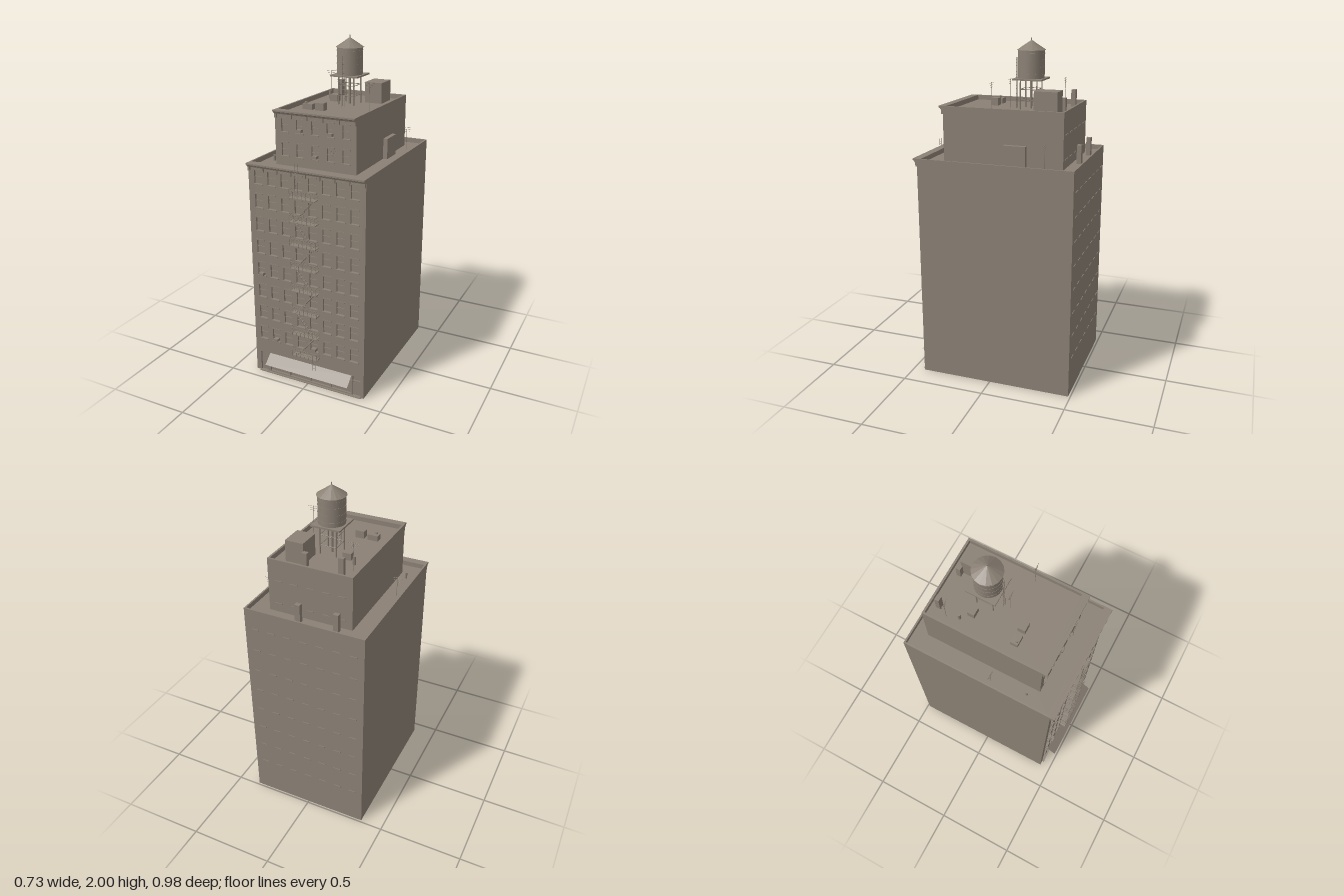
import * as THREE from 'three';

const stone = new THREE.MeshStandardMaterial({ color: 0x8a8074, side: THREE.DoubleSide });
stone.name = 'warm grey stone';

function add(parent, name, geo) {
  const m = new THREE.Mesh(geo, stone);
  m.name = name;
  parent.add(m);
  return m;
}
function group(parent, name) {
  const g = new THREE.Group();
  g.name = name;
  parent.add(g);
  return g;
}
function box(parent, name, x0, x1, y0, y1, z0, z1) {
  const m = add(parent, name, new THREE.BoxGeometry(x1 - x0, y1 - y0, z1 - z0));
  m.position.set((x0 + x1) / 2, (y0 + y1) / 2, (z0 + z1) / 2);
  return m;
}
function rod(parent, name, a, b, r = 0.0015, sides = 5) {
  const p = new THREE.Vector3(...a), d = new THREE.Vector3(...b).sub(p);
  const m = add(parent, name, new THREE.CylinderGeometry(r, r, d.length(), sides));
  m.position.copy(p).addScaledVector(d, 0.5);
  m.quaternion.setFromUnitVectors(new THREE.Vector3(0, 1, 0), d.normalize());
  return m;
}
function rect(Type, x0, x1, y0, y1) {
  return new Type([[x0, y0], [x1, y0], [x1, y1], [x0, y1]].map(p => new THREE.Vector2(...p)));
}
// a four-point sheet facing the side given by the corner order
function sheet(parent, name, w, h, x, y, z, rx = 0, ry = 0) {
  const m = add(parent, name, new THREE.PlaneGeometry(w, h));
  m.position.set(x, y, z);
  m.rotation.set(rx, ry, 0);
  return m;
}

// one storey block: side walls, pierced front, sunken roof, parapet and cornice
function block(root, name, o) {
  const g = group(root, name);
  const { w, back, front, y0, y1, rim, frontRim, openings } = o;
  const h = y1 - y0, ym = (y0 + y1) / 2, d = front - back, zm = (front + back) / 2;
  sheet(g, 'leftWall', d, h, w, ym, zm, 0, Math.PI / 2);
  sheet(g, 'rightWall', d, h, -w, ym, zm, 0, -Math.PI / 2);
  sheet(g, 'backWall', 2 * w, h, 0, ym, back, 0, Math.PI);
  // front with recessed openings
  const depth = 0.014;
  const face = rect(THREE.Shape, -w, w, y0, y1);
  for (const [a, b, c, e] of openings) {
    face.holes.push(rect(THREE.Path, a, b, c, e));
    sheet(g, 'glass', b - a, e - c, (a + b) / 2, (c + e) / 2, front - depth + 0.002);
  }
  const wall = add(g, 'frontWall', new THREE.ExtrudeGeometry(face, { depth, bevelEnabled: false }));
  wall.position.z = front - depth;
  // parapet ring and roof
  const ring = rect(THREE.Shape, -w, w, -front, -back);
  ring.holes.push(rect(THREE.Path, -w + rim, w - rim, -frontRim, -back - rim));
  const parapet = add(g, 'parapet', new THREE.ExtrudeGeometry(ring, { depth: 0.03, bevelEnabled: false }));
  parapet.rotation.x = -Math.PI / 2;
  parapet.position.y = y1 - 0.03;
  sheet(g, 'roof', 2 * w - 0.002, d - 0.002, 0, y1 - 0.028, zm, -Math.PI / 2);
  // stepped cornice with brackets
  const profile = new THREE.Shape([[0, 0], [0.026, 0], [0.026, -0.009], [0.017, -0.013], [0.012, -0.022], [0, -0.024]]
    .map(p => new THREE.Vector2(...p)));
  const cornice = add(g, 'cornice', new THREE.ExtrudeGeometry(profile, { depth: 2 * w, bevelEnabled: false }));
  cornice.rotation.y = -Math.PI / 2;
  cornice.scale.z = -1;
  cornice.rotation.y = Math.PI / 2;
  cornice.scale.set(-1, 1, 1);
  cornice.position.set(-w, y1, front);
  for (let i = 0; i < o.brackets; i++) {
    const x = -w + 0.008 + (2 * w - 0.016) * i / (o.brackets - 1);
    box(g, 'corniceBracket', x - 0.006, x + 0.006, y1 - 0.046, y1 - 0.022, front, front + 0.011);
  }
  return g;
}

function windows(cols, rows, w, h) {
  return rows.flatMap(y => cols.map(x => [x - w / 2, x + w / 2, y - h / 2, y + h / 2]));
}
function trim(parent, list, front) {
  for (const [a, b, c, e] of list) {
    const m = (c + e) / 2;
    box(parent, 'windowRail', a, b, m - 0.002, m + 0.002, front - 0.012, front - 0.007);
    box(parent, 'windowSill', a - 0.004, b + 0.004, c - 0.006, c, front - 0.01, front + 0.006);
    box(parent, 'windowLintel', a - 0.003, b + 0.003, e, e + 0.007, front - 0.01, front + 0.003);
  }
}
function antenna(root, x, y0, y1, z, span = 0.031) {
  const g = group(root, 'antenna');
  rod(g, 'mast', [x, y0, z], [x, y1, z], 0.0015);
  [1, 0.75, 0.5].forEach((s, i) =>
    rod(g, 'crossbar', [x - span * s, y1 - 0.004 - i * 0.012, z], [x + span * s, y1 - 0.004 - i * 0.012, z], 0.001));
}
function ladder(parent, x, y0, y1, z0, z1 = z0, half = 0.009) {
  const g = group(parent, 'ladder'), n = Math.max(2, Math.round((y1 - y0) / 0.016));
  for (const s of [-half, half]) rod(g, 'ladderRail', [x + s, y0, z0], [x + s, y1, z1]);
  for (let i = 1; i < n; i++) {
    const t = i / n, y = y0 + (y1 - y0) * t, z = z0 + (z1 - z0) * t;
    rod(g, 'rung', [x - half, y, z], [x + half, y, z], 0.001);
  }
}

export function createModel() {
  const root = new THREE.Group();
  root.name = 'apartmentTower';
  const F = 0.43, F2 = 0.312, B = -0.487, B2 = -0.396;

  // window layout
  const rows = Array.from({ length: 8 }, (_, i) => 0.27 + i * 0.1415);
  const cols = Array.from({ length: 8 }, (_, i) => -0.301 + i * 0.0859);
  const mainWin = windows(cols, rows, 0.05, 0.08);
  const topWin = windows([-0.19, -0.095, 0, 0.095, 0.19], [1.407, 1.545], 0.043, 0.075);
  const shop = [[-0.332, -0.283, 0.004, 0.13], [-0.265, 0.285, 0.012, 0.135], [0.292, 0.345, 0.004, 0.135]];

  // two stacked blocks
  const main = block(root, 'mainBlock', { w: 0.364, back: B, front: F, y0: 0, y1: 1.341, rim: 0.01,
    frontRim: 0.407, openings: [...mainWin, ...shop], brackets: 9 });
  trim(main, mainWin, F);
  const upper = block(root, 'upperBlock', { w: 0.251, back: B2, front: F2, y0: 1.312, y1: 1.63, rim: 0.012,
    frontRim: 0.293, openings: topWin, brackets: 6 });
  trim(upper, topWin, F2);

  // narrow ledges on the back walls
  for (const y of rows) for (let i = -3; i <= 3; i++)
    box(main, 'backSill', i * 0.1 - 0.022, i * 0.1 + 0.022, y - 0.046, y - 0.041, B - 0.004, B);
  for (const y of [1.407, 1.545]) for (let i = -2; i <= 2; i++)
    box(upper, 'backSill', i * 0.095 - 0.022, i * 0.095 + 0.022, y - 0.044, y - 0.039, B2 - 0.004, B2);

  // street front
  const store = group(root, 'storefront');
  for (const x of [-0.13, 0.01, 0.15]) box(store, 'mullion', x - 0.003, x + 0.003, 0.012, 0.135, F - 0.012, F - 0.004);
  box(store, 'transom', -0.265, 0.285, 0.096, 0.1, F - 0.012, F - 0.004);
  box(store, 'doorTransom', 0.292, 0.345, 0.1, 0.105, F - 0.012, F - 0.004);
  box(store, 'doorstep', -0.335, 0.348, 0, 0.005, F, F + 0.012);
  const rise = 0.05, reach = 0.06;
  sheet(store, 'awning', 0.55, Math.hypot(rise, reach), 0.01, 0.11, F + reach / 2, -Math.atan2(reach, rise));

  // window air conditioners
  for (const [x, y, z] of [[-0.301, 0.655, F], [-0.215, 0.235, F], [-0.001 + 0.043, 0.235, F],
    [-0.095, 1.513, F2], [0.095, 1.513, F2], [0, 1.375, F2]])
    box(root, 'airConditioner', x - 0.014, x + 0.014, y, y + 0.016, z - 0.012, z + 0.014);

  // fire escape
  const fire = group(root, 'fireEscape');
  const zin = F, zout = 0.47, xl = -0.083, xr = 0.079;
  for (let i = 0; i < 8; i++) {
    const y = 0.19 + i * 0.1415;
    box(fire, 'landing', xl, xr, y, y + 0.005, zin, zout);
    for (const h of [0.024, 0.046]) {
      rod(fire, 'frontRail', [xl, y + h, zout], [xr, y + h, zout], 0.0018);
      for (const x of [xl, xr]) rod(fire, 'sideRail', [x, y + h, zin], [x, y + h, zout], 0.0018);
    }
    for (let k = 0; k <= 6; k++) {
      const x = xl + (xr - xl) * k / 6;
      rod(fire, 'railPost', [x, y, zout], [x, y + 0.046, zout], 0.0013);
    }
    if (i === 7) continue;
    // stairs alternate in direction from floor to floor
    const s = i % 2 ? 1 : -1, x0 = 0.06 * s, x1 = -0.06 * s, y1 = y + 0.1415;
    for (const z of [0.44, 0.461]) rod(fire, 'stairStringer', [x0, y, z], [x1, y1, z], 0.0025, 4);
    for (let k = 1; k < 9; k++) {
      const x = x0 + (x1 - x0) * k / 9, yy = y + 0.1415 * k / 9;
      box(fire, 'stairTread', x - 0.005, x + 0.005, yy - 0.001, yy + 0.001, 0.44, 0.461);
    }
  }
  ladder(fire, 0.058, 0.12, 0.19, 0.464);
  ladder(fire, -0.035, 1.18, 1.38, 0.466);

  // rooftop boxes and chimneys
  const R = 1.602, R1 = 1.313;
  box(root, 'stairBulkhead', 0.065, 0.172, R, 1.724, -0.335, -0.2);
  box(root, 'sideBulkhead', 0.25, 0.277, R1, 1.434, -0.187, -0.055);
  box(root, 'roofVentBox', -0.14, -0.09, R, 1.642, -0.186, -0.145);
  box(root, 'roofHatch', -0.177, -0.115, R, 1.634, 0.087, 0.13);
  box(root, 'roofHatch', -0.094, -0.041, R, 1.645, 0.087, 0.13);
  box(root, 'chimney', -0.177, -0.146, R, 1.7, -0.355, -0.329);
  box(root, 'chimney', 0.037, 0.068, R, 1.68, -0.352, -0.326);
  box(root, 'lowerChimney', -0.193, -0.162, R1, 1.42, -0.45, -0.424);
  box(root, 'lowerChimney', 0.034, 0.066, R1, 1.42, -0.45, -0.424);
  rod(root, 'ventPipe', [-0.174, R, -0.214], [-0.174, 1.65, -0.214], 0.009, 10);
  rod(root, 'ventPipe', [-0.159, R, 0.117], [-0.159, 1.645, 0.117], 0.007, 10);
  rod(root, 'ventPipe', [-0.297, R1, 0.255], [-0.297, 1.35, 0.255], 0.007, 10);

  // antennas
  antenna(root, -0.198, R, 1.765, -0.28);
  antenna(root, 0.2, R, 1.768, 0.037);
  antenna(root, 0.005, R, 1.768, -0.005);
  antenna(root, 0.3, R1, 1.455, -0.303);
  antenna(root, -0.322, R1, 1.43, 0.045);
  antenna(root, 0.12, 1.341, 1.44, 0.326, 0.02);

  // water tower
  const tower = group(root, 'waterTower');
  tower.position.set(-0.002, 0, -0.13);
  box(tower, 'platform', -0.087, 0.087, 1.768, 1.777, -0.086, 0.086);
  const tank = add(tower, 'tank', new THREE.CylinderGeometry(0.076, 0.076, 0.16, 24));
  tank.position.y = 1.855;
  for (const y of [1.8, 1.84, 1.88, 1.915]) {
    const hoop = add(tower, 'hoop', new THREE.CylinderGeometry(0.0775, 0.0775, 0.003, 24));
    hoop.position.y = y;
  }
  const cone = add(tower, 'coneRoof', new THREE.ConeGeometry(0.083, 0.055, 16).toNonIndexed());
  cone.geometry.computeVertexNormals();
  cone.position.y = 1.9605;
  rod(tower, 'finial', [0, 1.98, 0], [0, 2, 0], 0.003, 8);
  const c = [[-1, -1], [1, -1], [1, 1], [-1, 1]].map(p => p.map(v => v * 0.049));
  c.forEach(([x, z], i) => {
    const [x2, z2] = c[(i + 1) % 4];
    rod(tower, 'leg', [x, R, z], [x, 1.77, z], 0.004, 6);
    for (const y of [1.655, 1.715]) rod(tower, 'brace', [x, y, z], [x2, y, z2], 0.0022);
  });
  rod(tower, 'downPipe', [0, R, 0], [0, 1.77, 0], 0.007, 8);
  ladder(tower, 0.002, R, 1.89, 0.088);
  return root;
}
